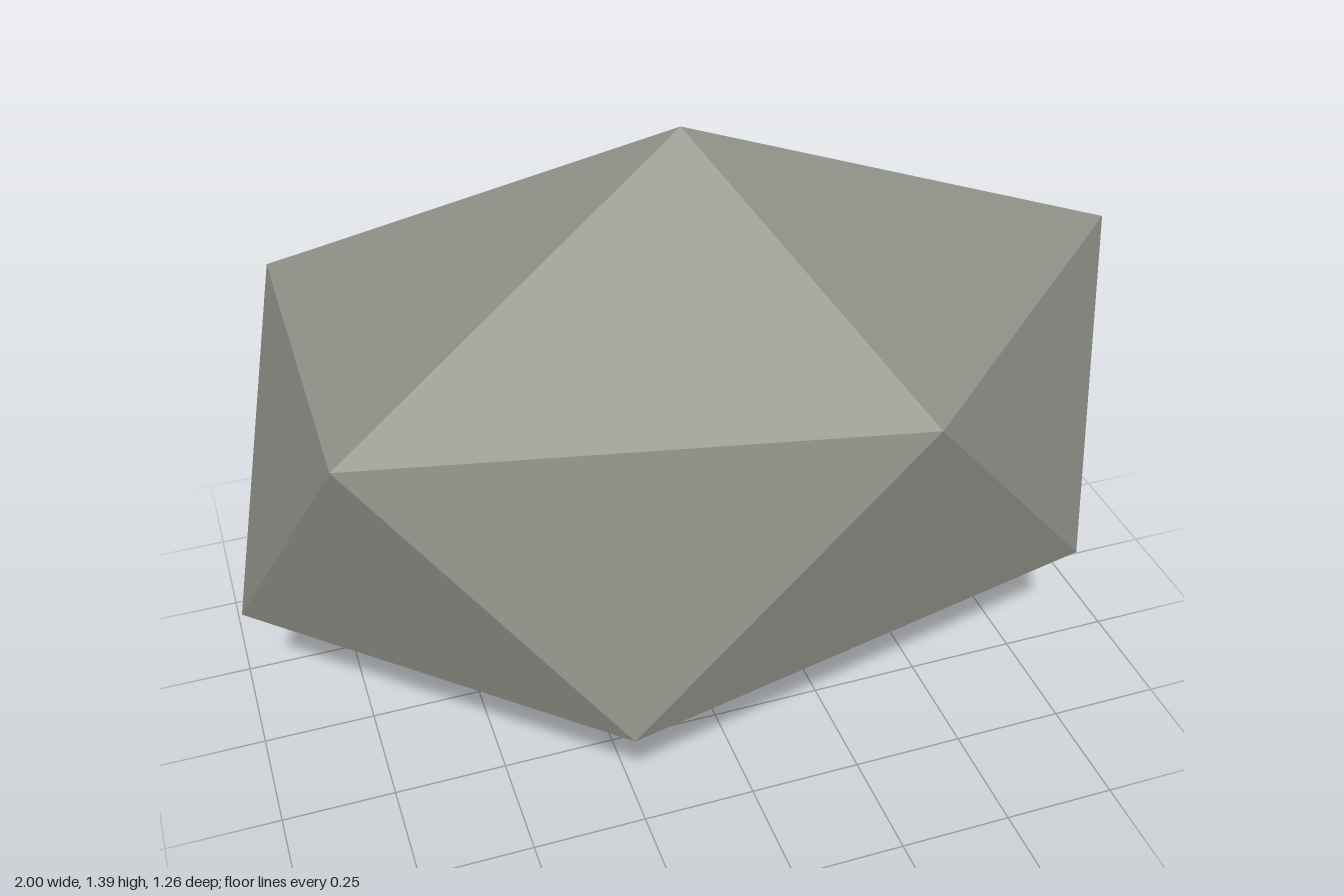
import * as THREE from 'three';

// Squashed twenty-sided rock: two offset five-point rings between a top and a bottom point
export function createModel() {
  const stone = new THREE.MeshStandardMaterial({ color: 0x8f9188 });
  stone.name = 'stone grey';
  stone.flatShading = true;

  const height = 1.39, lowerY = 0.385, upperY = 1.006, depth = 0.664;
  const ring = (y, offset) => Array.from({ length: 5 }, (_, i) => {
    const a = (i + offset) * Math.PI * 2 / 5;
    return [Math.cos(a), y, Math.sin(a) * depth];
  });
  const upper = ring(upperY, 0);
  const lower = ring(lowerY, 0.5);
  const top = [0, height, 0];
  const bottom = [0, 0, 0];

  const points = [];
  for (let i = 0; i < 5; i++) {
    const j = (i + 1) % 5;
    points.push(
      top, upper[j], upper[i],        // cap
      upper[i], upper[j], lower[i],   // side, pointing down
      lower[i], upper[j], lower[j],   // side, pointing up
      bottom, lower[i], lower[j]      // underside
    );
  }
  const geometry = new THREE.BufferGeometry();
  geometry.setAttribute('position', new THREE.Float32BufferAttribute(points.flat(), 3));
  geometry.computeVertexNormals();

  const rock = new THREE.Mesh(geometry, stone);
  rock.name = 'rock';
  const model = new THREE.Group();
  model.name = 'facetedRock';
  model.add(rock);
  return model;
}
